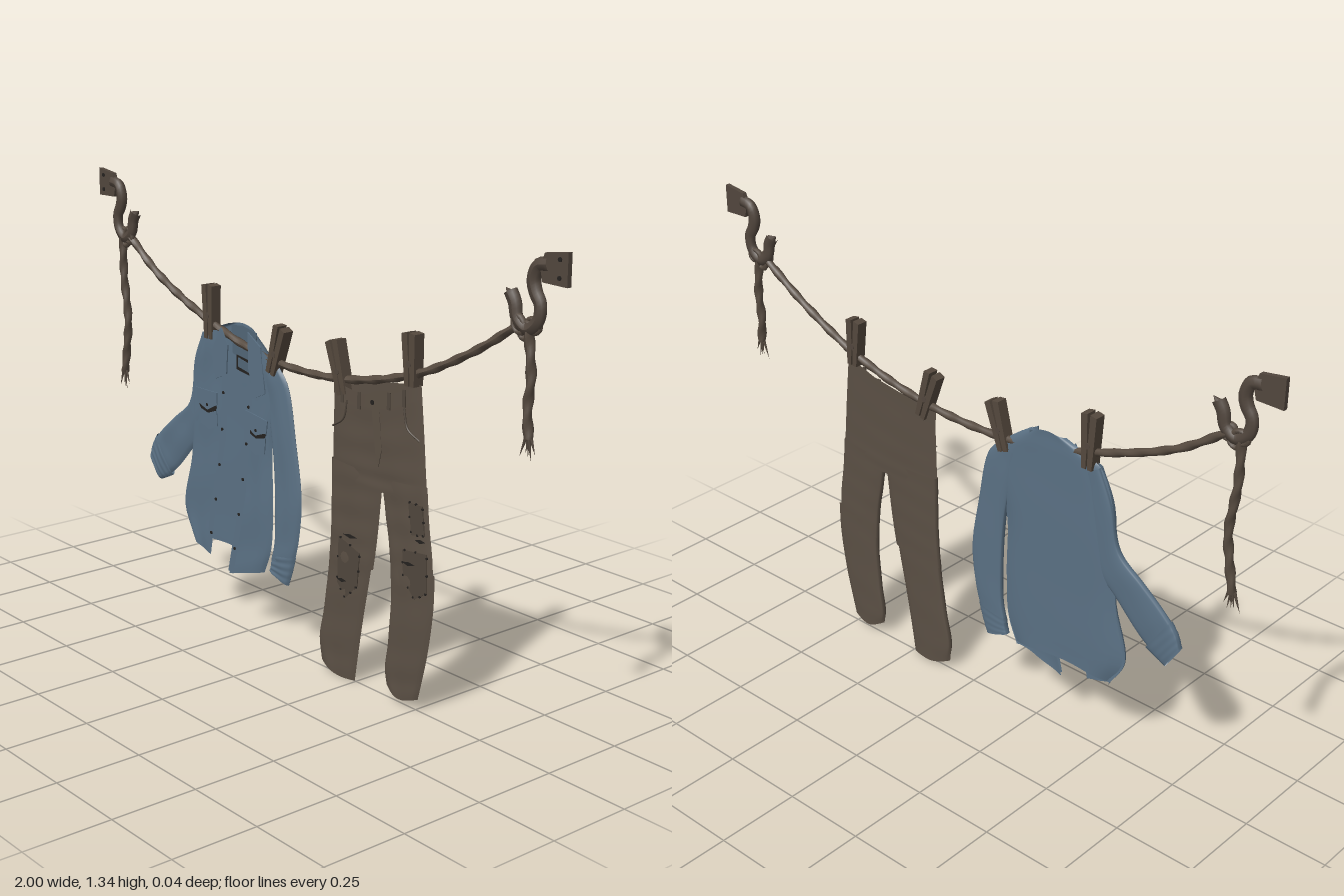
import * as THREE from 'three';

const material = (name, color, side = THREE.FrontSide) => {
  const m = new THREE.MeshStandardMaterial({ color, side });
  m.name = name;
  return m;
};
const V = (x, y, z = 0) => new THREE.Vector3(x, y, z);
const pairs = (a) => Array.from({ length: a.length / 2 }, (_, i) => V(a[2 * i], a[2 * i + 1]));

export function createModel() {
  const denim = material('denim', 0x5a7083, THREE.DoubleSide);
  const denimTrim = material('denim trim', 0x516576);
  const trouserCloth = material('trouser cloth', 0x5a4f44, THREE.DoubleSide);
  const trouserTrim = material('trouser trim', 0x50463c);
  const rope = material('rope', 0x574b40);
  const wood = material('peg wood', 0x54483d);
  const iron = material('rusty iron', 0x51463d);
  const dark = material('dark holes and buttons', 0x24211f);

  const model = new THREE.Group();
  const group = (name, parent = model) => {
    const g = new THREE.Group();
    g.name = name;
    parent.add(g);
    return g;
  };
  const add = (parent, name, geo, mat) => {
    const m = new THREE.Mesh(geo, mat);
    m.name = name;
    parent.add(m);
    return m;
  };

  // Smooth cloth sheet through rows of x,y points; depth(u, v) gives its z
  function sheet(rows, depth, back = false, nu = 18, nv = 30) {
    const curves = rows.map((r) => new THREE.CatmullRomCurve3(pairs(r)));
    const pos = [], idx = [];
    for (let i = 0; i <= nu; i++) {
      const col = new THREE.CatmullRomCurve3(curves.map((c) => c.getPoint(i / nu)));
      for (let j = 0; j <= nv; j++) {
        const p = col.getPoint(j / nv);
        pos.push(p.x, p.y, depth(i / nu, j / nv));
        if (i < nu && j < nv) {
          const a = i * (nv + 1) + j, b = a + nv + 1;
          if (back) idx.push(a, b, a + 1, b, b + 1, a + 1);
          else idx.push(a, a + 1, b, b, a + 1, b + 1);
        }
      }
    }
    const g = new THREE.BufferGeometry();
    g.setAttribute('position', new THREE.Float32BufferAttribute(pos, 3));
    g.setIndex(idx);
    g.computeVertexNormals();
    return g;
  }
  const round = (u) => Math.sqrt(Math.max(0, 1 - (2 * u - 1) ** 2));
  const fold = (u, v, k = 1) => 0.0016 * Math.sin(u * 7 * k + v * 9) * Math.sin(v * 13 - u * 5) * round(u);

  // Flattened cloth tube: a front and a back sheet
  function clothTube(parent, name, rows, mat, d = 0.011, backRows = rows) {
    add(parent, name + ' front', sheet(rows, (u, v) => d * round(u) + fold(u, v)), mat);
    add(parent, name + ' back', sheet(backRows, (u, v) => -d * round(u) + fold(u, v) * 0.4, true), mat);
  }
  // Thin flat cloth or metal piece
  function plate(parent, name, pts, z, mat, depth = 0.004) {
    const shape = new THREE.Shape(pairs(pts).map((p) => new THREE.Vector2(p.x, p.y)));
    const g = new THREE.ExtrudeGeometry(shape, { depth, bevelEnabled: false });
    return add(parent, name, g.translate(0, 0, z), mat);
  }
  function dot(parent, name, x, y, r = 0.006, z = 0.014) {
    add(parent, name, new THREE.CylinderGeometry(r, r, 0.004, 8).rotateX(Math.PI / 2).translate(x, y, z), dark);
  }
  // Tube with a twisted or lumpy surface
  function cord(parent, name, pts, r, mat, lump = 0.12, twist = 12, flat = 1) {
    const curve = new THREE.CatmullRomCurve3(pairs(pts));
    const n = Math.ceil(curve.getLength() / 0.009);
    const g = new THREE.TubeGeometry(curve, n, r, 8);
    const p = g.attributes.position, nm = g.attributes.normal, uv = g.attributes.uv;
    const turns = curve.getLength() * twist;
    for (let i = 0; i < p.count; i++) {
      const k = r * lump * Math.sin(Math.PI * 2 * (uv.getX(i) * turns + 2 * uv.getY(i)));
      p.setXYZ(i, p.getX(i) + nm.getX(i) * k, p.getY(i) + nm.getY(i) * k, (p.getZ(i) + nm.getZ(i) * k) * flat);
    }
    g.computeVertexNormals();
    return add(parent, name, g, mat);
  }

  // Sagging line
  const line = group('clothesline');
  cord(line, 'main rope', [-0.85, 1.15, -0.69, 1.045, -0.42, 0.94, -0.14, 0.878, 0.17, 0.88, 0.46, 0.945, 0.68, 1.045, 0.85, 1.15], 0.0115, rope);

  // Wall hooks with knots, mirrored
  for (const s of [-1, 1]) {
    const hook = group(s < 0 ? 'right hook' : 'left hook');
    const m = (a) => a.map((v, i) => (i % 2 ? v : v * s));
    plate(hook, 'wall plate', m([1, 1.345, 0.925, 1.335, 0.91, 1.30, 0.92, 1.262, 1, 1.26]), -0.007, iron, 0.014);
    for (const y of [1.28, 1.325]) dot(hook, 'rivet', s * 0.975, y, 0.006, 0.008);
    cord(hook, 'hook', m([0.935, 1.308, 0.90, 1.30, 0.886, 1.265, 0.893, 1.235, 0.91, 1.205, 0.905, 1.165, 0.87, 1.138, 0.835, 1.16, 0.825, 1.20, 0.81, 1.225]), 0.019, iron, 0.06, 6, 0.75);
    add(hook, 'hook tip', new THREE.ConeGeometry(0.018, 0.03, 8).rotateZ(s * 0.9).scale(1, 1, 0.7).translate(s * 0.805, 1.222, 0), iron);
    for (let i = 0; i < 3; i++) {
      const k = add(hook, 'knot loop', new THREE.TorusGeometry(0.022, 0.009, 6, 14).scale(1, 0.8, 0.9), rope);
      k.position.set(s * (0.885 - i * 0.02), 1.148 - (i % 2) * 0.014, (i - 1) * 0.004);
      k.rotation.z = i;
    }
  }

  // Loose rope ends with frayed strands
  const tails = [
    [-0.885, 1.15, -0.885, 1.02, -0.868, 0.87, -0.878, 0.79, -0.893, 0.70],
    [0.875, 1.14, 0.888, 1.02, 0.88, 0.94, 0.887, 0.865],
  ];
  for (const t of tails) {
    const g = group('rope tail', line);
    cord(g, 'hanging rope', t, 0.0125, rope, 0.15, 14);
    const [x, y] = t.slice(-2);
    for (let i = -2; i <= 2; i++) {
      const h = 0.045 + 0.008 * ((i + 4) % 3);
      const c = add(g, 'frayed strand', new THREE.ConeGeometry(0.0055, h, 5).rotateX(Math.PI).translate(0, -h / 2, 0), rope);
      c.position.set(x + i * 0.004, y + 0.004, (i % 2) * 0.004);
      c.rotation.z = i * 0.18;
    }
  }

  // Clothes pegs: two tapered prongs and a spring
  const pegs = [[-0.42, 0.975, 0.02, 0.165], [-0.10, 0.912, -0.3, 0.15], [0.173, 0.915, 0.3, 0.155], [0.466, 0.99, 0.05, 0.145]];
  for (const [x, y, tilt, h] of pegs) {
    const g = group('clothes peg');
    for (const s of [-1, 1]) {
      plate(g, 'prong', [s * 0.005, h / 2, s * 0.026, h / 2 - 0.004, s * 0.018, -h / 2, s * 0.003, -h / 2, s * 0.0015, -0.01], -0.017, wood, 0.034);
    }
    add(g, 'spring', new THREE.CylinderGeometry(0.009, 0.009, 0.036, 10).rotateX(Math.PI / 2).translate(0, -0.012, 0), iron);
    g.position.set(x, y, 0);
    g.rotation.z = tilt;
  }

  // Jacket body: back and two open fronts
  const jacket = group('jacket');
  const edge = (u) => Math.sqrt(Math.min(1, u * 4));
  add(jacket, 'jacket back', sheet([
    [-0.335, 0.952, -0.28, 0.958, -0.215, 0.945], [-0.41, 0.925, -0.29, 0.93, -0.15, 0.90],
    [-0.46, 0.90, -0.29, 0.89, -0.10, 0.855], [-0.505, 0.78, -0.30, 0.78, -0.085, 0.78],
    [-0.515, 0.64, -0.31, 0.63, -0.128, 0.63], [-0.525, 0.48, -0.32, 0.46, -0.128, 0.45],
    [-0.555, 0.32, -0.35, 0.31, -0.137, 0.31], [-0.505, 0.24, -0.35, 0.25, -0.17, 0.225],
  ], (u, v) => -0.013 * (1 - (2 * u - 1) ** 6) + fold(u, v) * 0.5, true), denim);
  add(jacket, 'jacket right front', sheet([
    [-0.46, 0.905, -0.355, 0.932], [-0.505, 0.80, -0.328, 0.80], [-0.515, 0.65, -0.335, 0.65],
    [-0.525, 0.50, -0.36, 0.50], [-0.565, 0.33, -0.40, 0.33], [-0.51, 0.23, -0.425, 0.205],
  ], (u, v) => 0.012 * edge(u) + 1.5 * fold(u, v)), denim);
  add(jacket, 'jacket left front', sheet([
    [-0.20, 0.93, -0.10, 0.86], [-0.225, 0.80, -0.088, 0.79], [-0.245, 0.62, -0.128, 0.63],
    [-0.265, 0.45, -0.128, 0.45], [-0.305, 0.28, -0.137, 0.30], [-0.33, 0.17, -0.17, 0.215],
  ], (u, v) => 0.012 * edge(1 - u) + 1.5 * fold(u, v)), denim);

  // Sleeves and cuffs
  clothTube(jacket, 'right sleeve', [
    [-0.455, 0.905, -0.40, 0.87], [-0.50, 0.80, -0.42, 0.77], [-0.53, 0.675, -0.46, 0.59],
    [-0.61, 0.61, -0.525, 0.525], [-0.685, 0.55, -0.605, 0.445], [-0.722, 0.515, -0.645, 0.415],
  ], denim, 0.012);
  clothTube(jacket, 'right cuff', [[-0.712, 0.53, -0.632, 0.413], [-0.735, 0.495, -0.67, 0.395], [-0.748, 0.46, -0.70, 0.382]], denim, 0.0135);
  clothTube(jacket, 'left sleeve', [
    [-0.17, 0.84, -0.10, 0.865], [-0.15, 0.76, -0.055, 0.81], [-0.122, 0.63, -0.02, 0.645],
    [-0.112, 0.47, 0.005, 0.48], [-0.114, 0.34, -0.01, 0.35], [-0.128, 0.27, -0.03, 0.28],
  ], denim, 0.012);
  clothTube(jacket, 'left cuff', [[-0.125, 0.285, -0.022, 0.30], [-0.13, 0.255, -0.038, 0.25], [-0.137, 0.235, -0.055, 0.205]], denim, 0.0135);

  // Collar, button strips, pockets
  plate(jacket, 'collar right flap', [-0.355, 0.937, -0.322, 0.89, -0.33, 0.80, -0.385, 0.775, -0.402, 0.86], 0.012, denim);
  plate(jacket, 'collar left flap', [-0.225, 0.945, -0.222, 0.83, -0.19, 0.755, -0.145, 0.775, -0.165, 0.91], 0.012, denim);
  plate(jacket, 'inner collar', [-0.335, 0.945, -0.33, 0.86, -0.22, 0.84, -0.215, 0.94, -0.28, 0.952], -0.0115, denimTrim, 0.002);
  plate(jacket, 'neck patch', [-0.31, 0.86, -0.31, 0.815, -0.235, 0.805, -0.235, 0.85], -0.011, dark, 0.003);
  plate(jacket, 'neck patch centre', [-0.30, 0.853, -0.30, 0.825, -0.245, 0.815, -0.245, 0.842], -0.008, denimTrim, 0.002);
  const strip = (name, a) => add(jacket, name, sheet(a, () => 0.0155, false, 2, 16), denim);
  strip('right button strip', [[-0.352, 0.80, -0.326, 0.80], [-0.36, 0.65, -0.333, 0.65], [-0.384, 0.50, -0.358, 0.50], [-0.424, 0.33, -0.398, 0.33], [-0.437, 0.23, -0.422, 0.21]]);
  strip('left button strip', [[-0.227, 0.80, -0.20, 0.79], [-0.247, 0.62, -0.22, 0.62], [-0.267, 0.45, -0.24, 0.45], [-0.307, 0.28, -0.28, 0.28], [-0.331, 0.18, -0.305, 0.175]]);
  for (let i = 0; i < 5; i++) {
    dot(jacket, 'button', -0.345 - 0.07 * (i / 4) ** 1.6, 0.74 - i * 0.115, 0.005, 0.016);
    dot(jacket, 'button', -0.222 - 0.075 * (i / 4) ** 1.3, 0.72 - i * 0.115, 0.005, 0.016);
  }
  for (const [name, x, y, tilt] of [['right pocket', -0.425, 0.675, 0.06], ['left pocket', -0.188, 0.645, -0.08]]) {
    const p = group(name, jacket);
    plate(p, 'pocket bag', [-0.045, 0.04, -0.042, -0.05, 0, -0.065, 0.042, -0.05, 0.045, 0.04], 0.012, denim, 0.003);
    plate(p, 'pocket opening', [-0.046, 0.012, -0.035, -0.004, 0, -0.014, 0.04, -0.002, 0.046, 0.012], 0.0145, dark, 0.001);
    plate(p, 'pocket flap', [-0.052, 0.06, -0.05, 0.015, 0, -0.004, 0.05, 0.018, 0.052, 0.055], 0.015, denim, 0.003);
    dot(p, 'pocket button', 0, 0.012, 0.005, 0.017);
    p.position.set(x, y, 0);
    p.rotation.z = tilt;
  }

  // Trousers: hips and two legs
  const trousers = group('trousers');
  const hips = [[0.147, 0.75, 0.33, 0.755, 0.515, 0.78], [0.145, 0.66, 0.345, 0.66, 0.525, 0.67], [0.145, 0.605, 0.355, 0.60, 0.532, 0.61]];
  clothTube(trousers, 'hips', [[0.15, 0.87, 0.32, 0.862, 0.50, 0.92], ...hips], trouserCloth, 0.013, [[0.15, 0.872, 0.32, 0.897, 0.50, 0.925], ...hips]);
  clothTube(trousers, 'right thigh', [[0.145, 0.65, 0.355, 0.64], [0.145, 0.55, 0.345, 0.55], [0.143, 0.45, 0.333, 0.45], [0.135, 0.35, 0.318, 0.36]], trouserCloth, 0.012);
  clothTube(trousers, 'right shin', [[0.143, 0.41, 0.315, 0.39], [0.133, 0.32, 0.302, 0.32], [0.115, 0.2, 0.278, 0.2], [0.094, 0.09, 0.258, 0.085], [0.098, 0.03, 0.165, 0.005, 0.245, 0.004]], trouserCloth, 0.0125);
  clothTube(trousers, 'left thigh', [[0.355, 0.64, 0.53, 0.65], [0.37, 0.55, 0.54, 0.55], [0.388, 0.45, 0.555, 0.45], [0.397, 0.35, 0.56, 0.36]], trouserCloth, 0.012);
  clothTube(trousers, 'left shin', [[0.395, 0.40, 0.565, 0.41], [0.399, 0.31, 0.562, 0.31], [0.39, 0.18, 0.543, 0.18], [0.378, 0.08, 0.522, 0.09], [0.38, 0.045, 0.44, 0.018, 0.508, 0.035]], trouserCloth, 0.0125);

  // Waistband, belt loops, fly and pocket edges
  add(trousers, 'waistband', sheet([[0.15, 0.872, 0.32, 0.864, 0.50, 0.922], [0.149, 0.838, 0.32, 0.828, 0.503, 0.885]], (u) => 0.003 + 0.0125 * round(u), false, 18, 2), trouserCloth);
  for (const [x, y] of [[0.20, 0.845], [0.27, 0.84], [0.39, 0.862], [0.45, 0.882]]) {
    plate(trousers, 'belt loop', [x - 0.006, y - 0.024, x + 0.006, y - 0.024, x + 0.006, y + 0.024, x - 0.006, y + 0.024], 0.014, trouserTrim, 0.003);
  }
  plate(trousers, 'fly', [0.32, 0.83, 0.35, 0.835, 0.362, 0.72, 0.35, 0.67, 0.338, 0.70], 0.0125, trouserCloth, 0.002);
  dot(trousers, 'waist button', 0.325, 0.846, 0.007, 0.016);
  cord(trousers, 'right pocket edge', [0.215, 0.83, 0.20, 0.775, 0.155, 0.745], 0.003, trouserTrim, 0).position.z = 0.0105;
  cord(trousers, 'left pocket edge', [0.445, 0.855, 0.46, 0.80, 0.508, 0.775], 0.003, trouserTrim, 0).position.z = 0.0105;

  // Worn knee patches with stitches and small tears
  const patches = [
    ['right knee patch', [0.185, 0.43, 0.275, 0.40, 0.265, 0.30, 0.215, 0.25, 0.18, 0.29]],
    ['left knee patch', [0.45, 0.46, 0.545, 0.47, 0.548, 0.36, 0.50, 0.33, 0.455, 0.38]],
    ['left thigh patch', [0.47, 0.60, 0.525, 0.60, 0.535, 0.52, 0.485, 0.51]],
  ];
  for (const [name, pts] of patches) {
    plate(trousers, name, pts, 0.0105, trouserTrim, 0.003);
    const p = pairs(pts);
    p.forEach((a, i) => {
      const b = p[(i + 1) % p.length];
      for (const t of [0.1, 0.55]) dot(trousers, 'stitch', a.x + (b.x - a.x) * t, a.y + (b.y - a.y) * t, 0.0035, 0.0125);
    });
  }
  for (const [x, y, w] of [[0.235, 0.44, 0.03], [0.475, 0.425, 0.025], [0.52, 0.50, 0.02], [0.20, 0.30, 0.02]]) {
    plate(trousers, 'tear', [x - w, y, x, y + 0.006, x + w, y + 0.002, x, y - 0.006], 0.0135, dark, 0.001);
  }

  // Stand the lowest hem on the ground
  const box = new THREE.Box3().setFromObject(model);
  model.children.forEach((c) => { c.position.y -= box.min.y; });
  return model;
}
